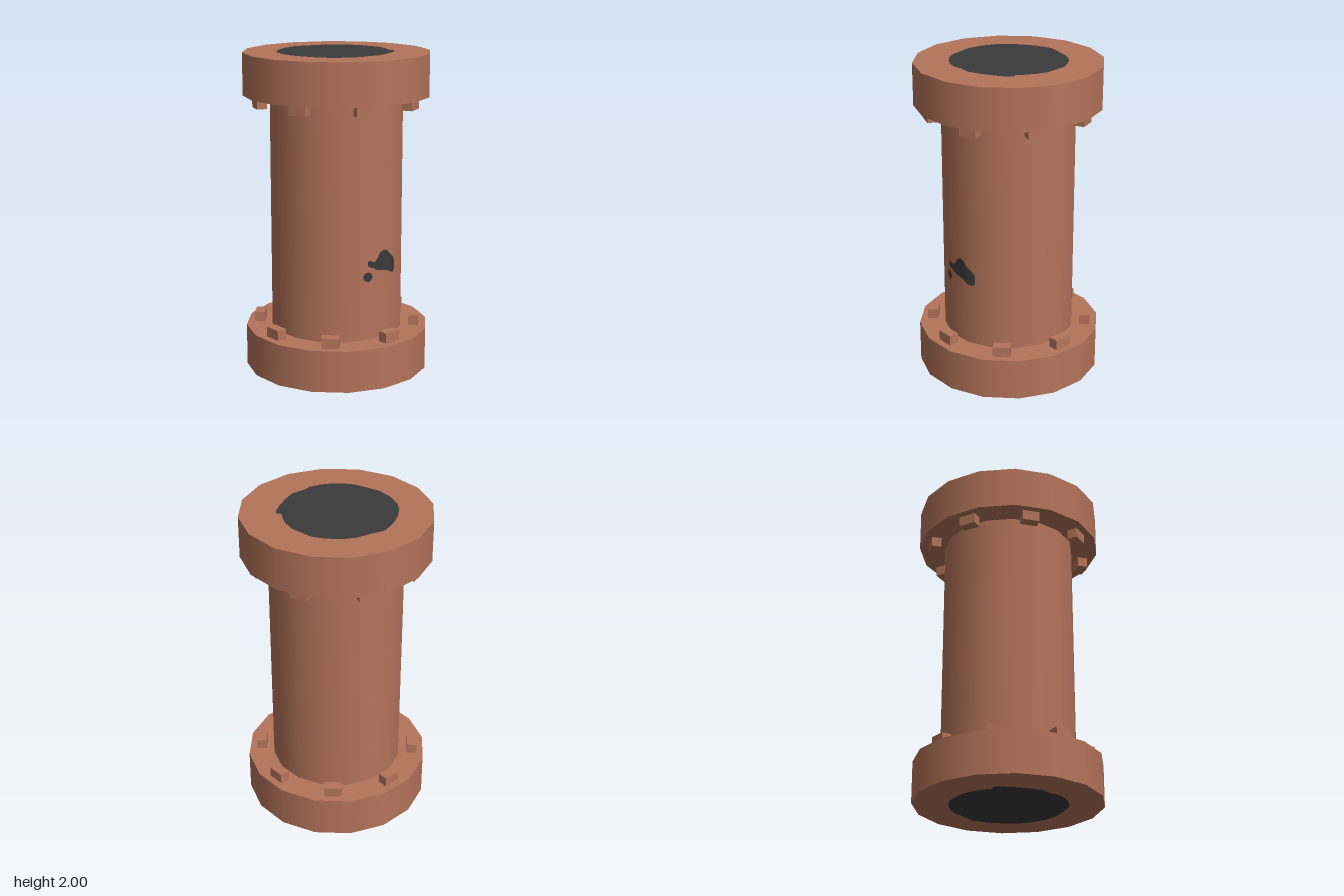
import * as THREE from 'three';

const SIDES = 16, PIPE_R = 0.415, FLANGE_R = 0.58, FLANGE_H = 0.263;

// Irregular outline of the pipe opening, as [x, z]
const OPENING = [
  [0, -0.36], [0.06, -0.355], [0.13, -0.335], [0.19, -0.305], [0.24, -0.25], [0.29, -0.19],
  [0.315, -0.12], [0.325, -0.05], [0.325, 0], [0.355, 0.01], [0.35, 0.05], [0.325, 0.11],
  [0.28, 0.19], [0.23, 0.26], [0.15, 0.3], [0.11, 0.335], [0.05, 0.355], [-0.02, 0.36],
  [-0.1, 0.35], [-0.16, 0.325], [-0.23, 0.27], [-0.29, 0.22], [-0.34, 0.14], [-0.37, 0.03],
  [-0.365, -0.05], [-0.34, -0.13], [-0.3, -0.21], [-0.235, -0.295], [-0.19, -0.31],
  [-0.13, -0.33], [-0.06, -0.355],
];

// Rust holes in the wall, as columns of [x, low y, high y]
const LARGE_HOLE = [
  [0.143, 0.735, 0.765], [0.159, 0.727, 0.77], [0.185, 0.715, 0.755], [0.205, 0.7, 0.775],
  [0.225, 0.695, 0.81], [0.25, 0.69, 0.82], [0.275, 0.685, 0.81], [0.293, 0.67, 0.785],
  [0.315, 0.66, 0.76], [0.328, 0.675, 0.73],
];
const SMALL_HOLE = [
  [0.113, 0.66, 0.675], [0.123, 0.645, 0.69], [0.143, 0.636, 0.698], [0.159, 0.642, 0.692],
  [0.172, 0.66, 0.675],
];

// Front z of the many-sided pipe at a given x
function wallZ(x, radius) {
  const step = (Math.PI * 2) / SIDES;
  for (let i = 0; i < SIDES / 4; i++) {
    const xa = radius * Math.sin(i * step), xb = radius * Math.sin((i + 1) * step);
    if (x <= xb) {
      const t = (x - xa) / (xb - xa);
      return radius * THREE.MathUtils.lerp(Math.cos(i * step), Math.cos((i + 1) * step), t);
    }
  }
  return 0;
}

// Thin strip of columns lying on the pipe wall
function wallPatch(columns) {
  const pos = [], index = [];
  columns.forEach(([x, low, high], i) => {
    const z = wallZ(x, PIPE_R + 0.003);
    pos.push(x, low, z, x, high, z);
    if (i > 0) {
      const a = 2 * i - 2;
      index.push(a, a + 2, a + 3, a, a + 3, a + 1);
    }
  });
  const geo = new THREE.BufferGeometry();
  geo.setAttribute('position', new THREE.Float32BufferAttribute(pos, 3));
  geo.setIndex(index);
  geo.computeVertexNormals();
  return geo;
}

export function createModel() {
  const model = new THREE.Group();
  const copper = new THREE.MeshStandardMaterial({ color: 0xb4745a });
  copper.name = 'copper brown';
  const dark = new THREE.MeshStandardMaterial({ color: 0x3a3a3a });
  dark.name = 'dark grey';

  function add(parent, name, geo, mat) {
    const mesh = new THREE.Mesh(geo, mat);
    mesh.name = name;
    parent.add(mesh);
    return mesh;
  }

  // Pipe body between the flanges
  const pipeGeo = new THREE.CylinderGeometry(PIPE_R, PIPE_R, 2 - 2 * FLANGE_H, SIDES, 1, true);
  add(model, 'pipe', pipeGeo, copper).position.y = 1;
  add(model, 'largeRustHole', wallPatch(LARGE_HOLE), dark);
  add(model, 'smallRustHole', wallPatch(SMALL_HOLE), dark);

  const flangeGeo = new THREE.CylinderGeometry(FLANGE_R, FLANGE_R, FLANGE_H, SIDES);
  const boltGeo = new THREE.BoxGeometry(0.108, 0.07, 0.064);
  const openingShape = new THREE.Shape(OPENING.map(([x, z]) => new THREE.Vector2(x, -z)));
  const openingGeo = new THREE.ShapeGeometry(openingShape).rotateX(-Math.PI / 2);

  // Pipe end, built facing up: flange, dark opening and a ring of eight bolts below
  function pipeEnd(name) {
    const end = new THREE.Group();
    end.name = name;
    add(end, 'flange', flangeGeo, copper).position.y = 1 - FLANGE_H / 2;
    add(end, 'opening', openingGeo, dark).position.y = 1.001;
    for (let i = 0; i < 8; i++) {
      const angle = THREE.MathUtils.degToRad(11.5 + 45 * i);
      const bolt = add(end, 'bolt', boltGeo, copper);
      bolt.position.set(0.493 * Math.sin(angle), 1 - FLANGE_H - 0.029, 0.493 * Math.cos(angle));
      bolt.rotation.y = angle;
    }
    end.position.y = 1;
    model.add(end);
    return end;
  }
  pipeEnd('topEnd');
  const bottom = pipeEnd('bottomEnd');
  bottom.rotation.z = Math.PI;
  // Turn the lower opening a little around the pipe
  bottom.getObjectByName('opening').rotation.y = 0.35;

  return model;
}
